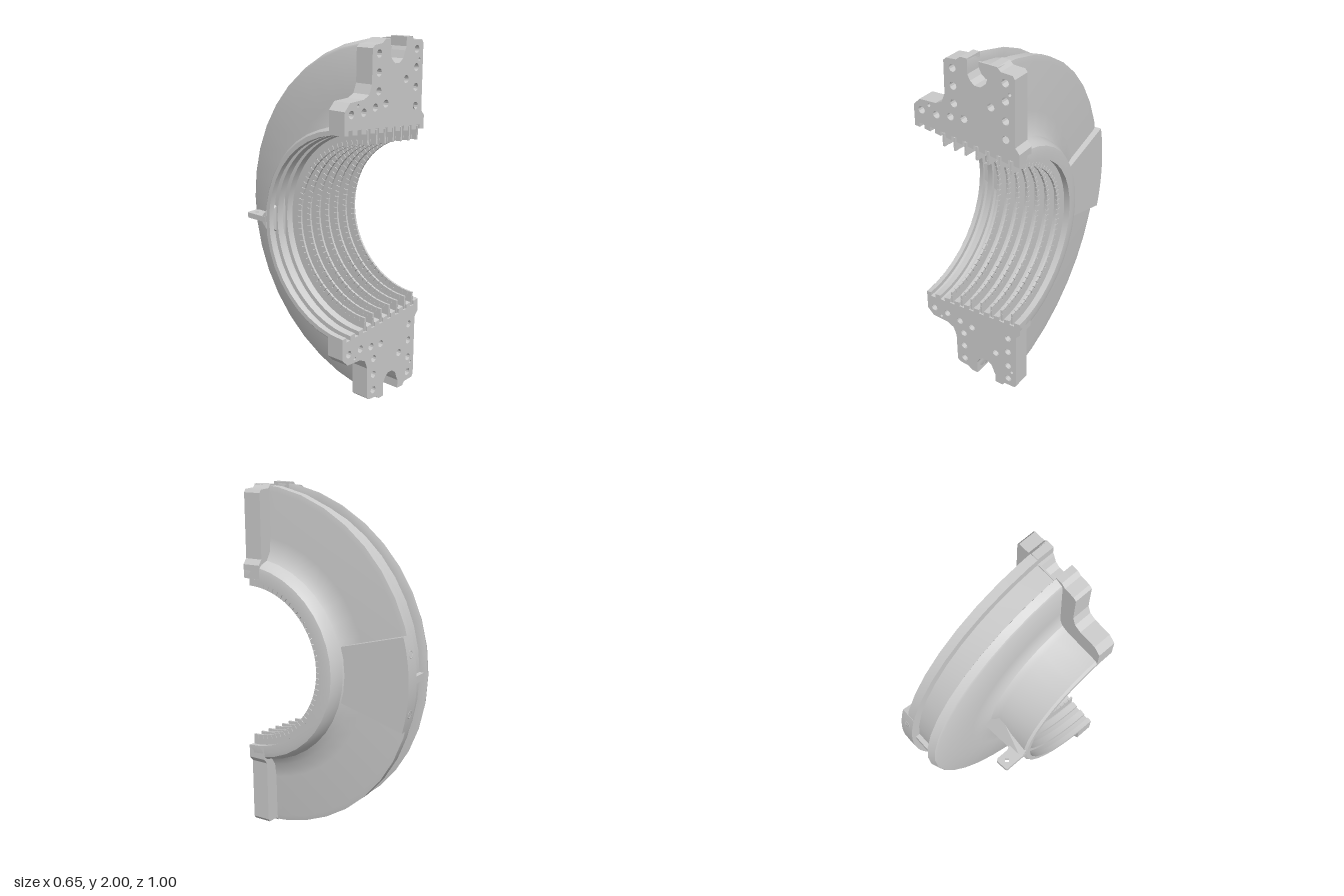
import * as THREE from 'three';
import { toCreasedNormals, mergeGeometries } from 'three/addons/utils/BufferGeometryUtils.js';
import { ConvexGeometry } from 'three/addons/geometries/ConvexGeometry.js';

const AXIS_Y = 1, AXIS_Z = 0.5;
const material = new THREE.MeshStandardMaterial({ color: 0xcccccc, side: THREE.DoubleSide });

export function createModel() {
  const model = new THREE.Group();
  const add = (name, geometry) => {
    const mesh = new THREE.Mesh(geometry, material);
    mesh.name = name;
    model.add(mesh);
    return mesh;
  };

  // Revolves an (x, radius) profile round the casing axis, on the rear half
  const revolve = (profile, segments, trim = 0) => {
    const g = new THREE.LatheGeometry(profile.map(([x, r]) => new THREE.Vector2(r, x)),
      segments, Math.PI / 2 + trim, Math.PI - 2 * trim);
    g.rotateZ(-Math.PI / 2).translate(0, AXIS_Y, AXIS_Z);
    return toCreasedNormals(g, 0.5);
  };

  // Bore with square ring grooves, from right to left
  const boreRadius = x => 0.545 - 0.05 * (x + 0.325) / 0.65;
  const grooveX = Array.from({ length: 9 }, (_, i) => -0.28 + i * 0.069);
  const bore = [[0.325, boreRadius(0.325)]];
  for (const x of [...grooveX].reverse()) {
    const r = boreRadius(x);
    bore.push([x + 0.016, r], [x + 0.016, r + 0.025], [x - 0.016, r + 0.025], [x - 0.016, r]);
  }
  bore.push([-0.325, 0.545]);

  // Half-ring casing: left hub and plate, right plate and hub, groove floor
  add('leftCasing', revolve([
    [-0.325, 0.545], [-0.325, 0.57], [-0.312, 0.583], [-0.1, 0.592], [-0.06, 0.607], [-0.042, 0.64],
    [-0.036, 0.72], [-0.025, 0.97], [-0.018, 0.982], [0.023, 1], [0.025, 0.995], [0.025, 0.94],
  ], 20));
  add('rightCasing', revolve([
    [0.155, 0.94], [0.155, 1], [0.205, 1], [0.21, 0.97], [0.212, 0.72], [0.222, 0.64], [0.25, 0.598],
    [0.3, 0.582], [0.32, 0.565], [0.325, 0.54], [0.325, 0.495],
  ], 20));
  add('grooveFloor', revolve([[0.02, 0.95], [0.16, 0.95]], 20, 0.105));
  add('bore', revolve(bore, 32));

  // Bolted joint flanges, top (s = 1) and bottom (s = -1)
  const outline = [
    [-0.325, 0.665], [-0.285, 0.705], [-0.18, 0.71], [-0.14, 0.73], [-0.12, 0.78], [-0.118, 0.96],
    [-0.1, 0.975], [-0.04, 0.98], [-0.015, 1], [0.025, 1], [0.025, 0.92], [0.04, 0.89], [0.065, 0.87],
    [0.1, 0.87], [0.13, 0.89], [0.145, 0.93], [0.155, 0.95], [0.155, 1], [0.2, 1], [0.22, 0.98],
    [0.288, 0.977], [0.3, 0.96], [0.3, 0.6], [0.325, 0.57],
  ];
  const bolts = [
    [-0.275, 0.645], [-0.18, 0.645], [-0.09, 0.66], [-0.005, 0.67], [-0.065, 0.74], [-0.065, 0.835],
    [-0.065, 0.93], [0.245, 0.63], [0.245, 0.73], [0.245, 0.835], [0.245, 0.93], [0.16, 0.78],
  ].map(p => [...p, 0.021]).concat([[-0.225, 0.685, 0.009], [0.27, 0.875, 0.009]]);
  for (const s of [1, -1]) {
    const side = s > 0 ? 'top' : 'bottom';
    const makeShape = () => new THREE.Shape([...outline, ...bore].map(([x, r]) => new THREE.Vector2(x, s * r)));
    const drilled = makeShape();
    for (const [x, r, size] of bolts) {
      drilled.holes.push(new THREE.Path().absarc(x, s * r, size, 0, Math.PI * 2, true));
    }
    const front = new THREE.ExtrudeGeometry(drilled, { depth: 0.05, bevelEnabled: false, curveSegments: 6 });
    const back = new THREE.ExtrudeGeometry(makeShape(), { depth: 0.055, bevelEnabled: false });
    add(side + 'FlangeFace', front.translate(0, AXIS_Y, 0.45));
    add(side + 'FlangeBack', back.translate(0, AXIS_Y, 0.395));
    add(side + 'PocketWall', new THREE.BoxGeometry(0.135, 0.095, 0.01))
      .position.set(0.09, AXIS_Y + s * 0.902, 0.402);
  }

  // Seal blades: short segments standing inward from the grooves
  const count = 44;
  for (const x of grooveX.slice(2)) {
    const outer = boreRadius(x) + 0.02, inner = boreRadius(x) - 0.057;
    const parts = [];
    for (let i = 0; i < count; i++) {
      const angle = (i + 0.5) / count * Math.PI - Math.PI / 2;
      const g = new THREE.BoxGeometry(0.012, inner * Math.PI / count * 0.93, outer - inner);
      g.translate(0, 0, -(outer + inner) / 2).rotateX(angle).translate(x, AXIS_Y, AXIS_Z);
      parts.push(g);
    }
    add('sealBlades', mergeGeometries(parts));
    add('sealFoot', revolve([[x + 0.006, inner + 0.025], [x - 0.006, inner + 0.025],
      [x - 0.006, outer], [x + 0.006, outer], [x + 0.006, inner + 0.025]], 32));
  }

  // Raised sector at the rear of the right plate
  const half = 0.268;
  const sector = new THREE.Shape();
  sector.absarc(0, 0, 1, -half, half, false);
  sector.absarc(0, 0, 0.585, half, -half, true);
  const sectorGeo = new THREE.ExtrudeGeometry(sector, { depth: 0.09, bevelEnabled: false, curveSegments: 8 });
  sectorGeo.rotateY(Math.PI / 2).translate(0.155, AXIS_Y, AXIS_Z);
  add('rearSector', toCreasedNormals(sectorGeo, 0.5));
  for (const s of [1, -1]) {
    const ring = add('lugHoleRim', new THREE.TorusGeometry(0.02, 0.005, 6, 16));
    ring.position.set(0.2, AXIS_Y + s * 0.166, AXIS_Z - 0.983);
    ring.rotation.x = s * 0.168;
  }

  // Key bar across the rim groove
  add('grooveKey', new THREE.BoxGeometry(0.135, 0.04, 0.04)).position.set(0.09, AXIS_Y, -0.455);

  // Rear lifting tab with a diamond hole, on a tapering gusset
  const tab = new THREE.Shape([[-0.325, -0.08], [-0.325, -0.215], [-0.315, -0.222], [-0.25, -0.227],
    [-0.242, -0.215], [-0.242, -0.14], [-0.23, -0.12], [-0.2, -0.08]].map(p => new THREE.Vector2(...p)));
  tab.holes.push(new THREE.Path([[-0.285, -0.198], [-0.27, -0.183], [-0.285, -0.168], [-0.3, -0.183]]
    .map(p => new THREE.Vector2(...p))));
  const tabGeo = new THREE.ExtrudeGeometry(tab, { depth: 0.03, bevelEnabled: false });
  add('rearTab', tabGeo.rotateX(Math.PI / 2).translate(0, AXIS_Y + 0.015, 0));
  const gusset = [[-0.325, 0, -0.115], [-0.23, 0, -0.12], [-0.03, 0, -0.137]];
  for (const s of [1, -1]) {
    gusset.push([-0.322, s * 0.05, -0.075], [-0.03, s * 0.2, -0.05], [-0.3, s * 0.05, -0.05]);
  }
  add('tabGusset', new ConvexGeometry(gusset.map(([x, y, z]) => new THREE.Vector3(x, AXIS_Y + y, z))));

  return model;
}
